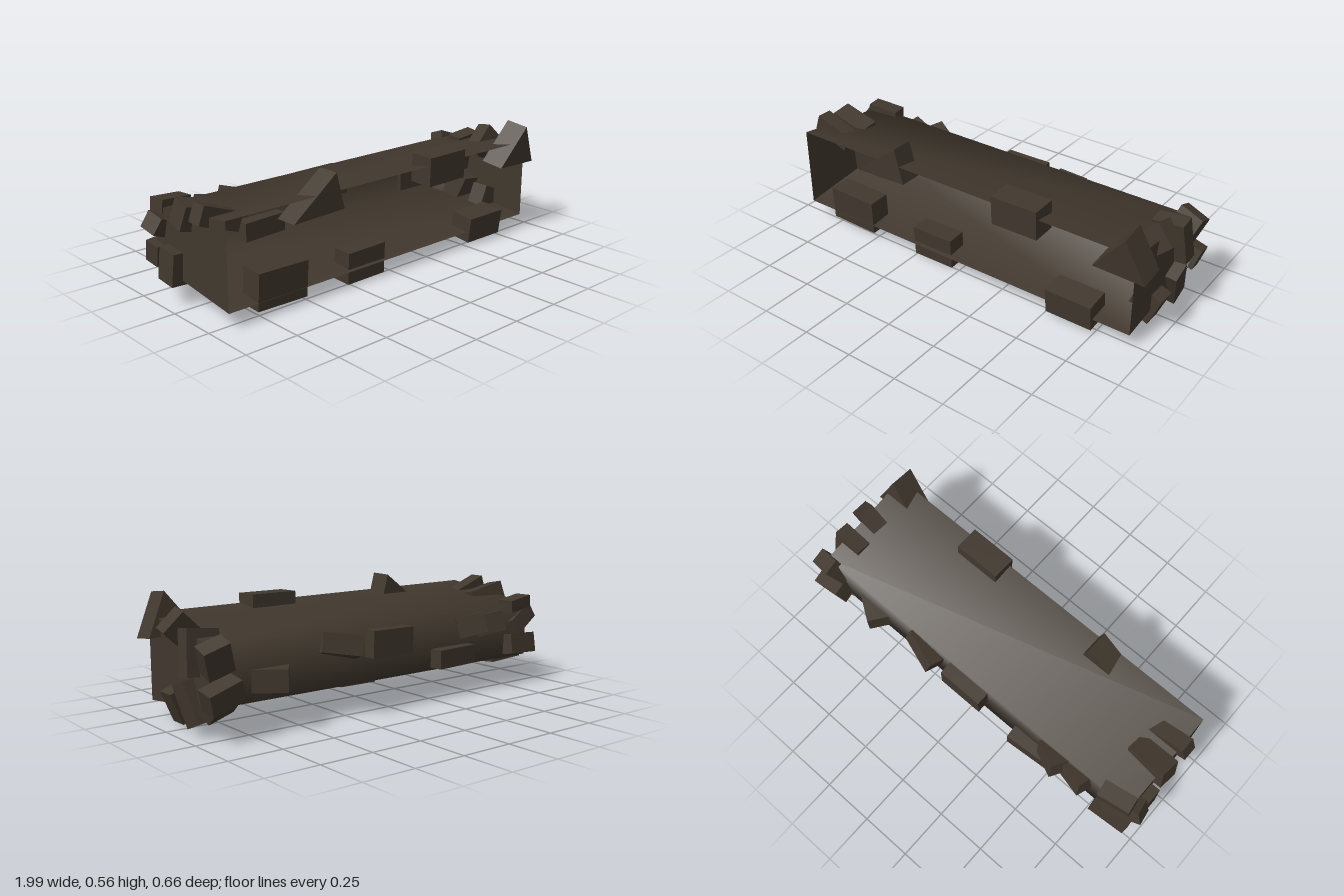
import * as THREE from 'three';

export function createModel() {
  const model = new THREE.Group();
  const darkBrown = new THREE.MeshStandardMaterial({ color: 0x41382e, side: THREE.DoubleSide });
  darkBrown.name = 'darkBrown';

  const add = (name, geometry, pos = [0, 0, 0], rot = [0, 0, 0]) => {
    const mesh = new THREE.Mesh(geometry, darkBrown);
    mesh.name = name;
    mesh.position.set(...pos);
    mesh.rotation.set(...rot);
    model.add(mesh);
  };

  // Trough shell, open to the front: bottom, back and top with shared smooth normals
  const profile = [[0.28, 0.075], [-0.24, 0.137], [-0.24, 0.4], [0.28, 0.467]]; // z, y
  const half = 0.92;
  const points = [];
  const index = [];
  profile.forEach(([z, y], i) => {
    points.push(-half, y, z, half, y, z);
    if (i < profile.length - 1) {
      const a = 2 * i;
      index.push(a, a + 2, a + 1, a + 1, a + 2, a + 3);
    }
  });
  const shell = new THREE.BufferGeometry();
  shell.setAttribute('position', new THREE.Float32BufferAttribute(points, 3));
  shell.setIndex(index);
  shell.computeVertexNormals();
  add('shell', shell);

  // Flat end walls
  const capShape = new THREE.Shape(profile.map(([z, y]) => new THREE.Vector2(-z, y)));
  for (const side of [-1, 1]) {
    add('endWall', new THREE.ShapeGeometry(capShape), [side * half, 0, 0], [0, Math.PI / 2, 0]);
  }

  // Blocks: centre, size, rotation
  const blocks = (name, list) => list.forEach(([pos, size, rot]) =>
    add(name, new THREE.BoxGeometry(...size), pos, rot));

  blocks('topBlock', [
    [[0.335, 0.443, 0.235], [0.235, 0.14, 0.12], [0.04, 0, 0.01]],
  ]);
  blocks('bottomBlock', [
    [[-0.64, 0.12, 0.225], [0.26, 0.17, 0.11], [0.05, 0, -0.02]],
    [[-0.15, 0.083, 0.213], [0.22, 0.15, 0.095], [0.05, 0, 0.01]],
    [[0.625, 0.09, 0.235], [0.23, 0.125, 0.12], [0.12, 0, 0]],
  ]);
  blocks('backBlock', [
    [[-0.39, 0.195, -0.235], [0.24, 0.09, 0.12], [0, 0.08, 0]],
    [[0.015, 0.315, -0.245], [0.23, 0.125, 0.12], [0, 0, 0.01]],
    [[0.28, 0.325, -0.25], [0.19, 0.09, 0.09], [0.3, -0.25, 0.25]],
    [[-0.64, 0.325, -0.25], [0.14, 0.1, 0.08], [0.2, -0.3, -0.12]],
    [[-0.51, 0.33, -0.25], [0.14, 0.1, 0.1], [0.2, -0.5, -0.12]],
  ]);

  // Blocks clustered around the +x end
  blocks('leftEndBlock', [
    [[0.9, 0.425, 0.04], [0.13, 0.12, 0.085], [-0.15, -0.1, 0.75]],
    [[0.895, 0.348, -0.11], [0.15, 0.2, 0.075], [0.15, 0, 0.1]],
    [[0.88, 0.143, -0.093], [0.16, 0.19, 0.1], [0.38, 0, -0.15]],
    [[0.885, 0.11, 0.057], [0.12, 0.15, 0.09], [0, 0, -0.4]],
    [[0.895, 0.345, -0.242], [0.12, 0.14, 0.08], [-0.35, 0, -0.35]],
    [[0.885, 0.198, -0.272], [0.16, 0.1, 0.085], [-0.22, 0.1, -0.3]],
    [[0.86, 0.135, -0.2], [0.14, 0.08, 0.08], [0.75, 0, -0.3]],
  ]);

  // Blocks clustered around the -x end
  blocks('rightEndBlock', [
    [[-0.86, 0.433, 0.13], [0.2, 0.085, 0.075], [0, 0, -0.35]],
    [[-0.86, 0.41, 0], [0.2, 0.11, 0.1], [0.2, -0.1, -0.2]],
    [[-0.87, 0.172, -0.1], [0.2, 0.15, 0.11], [0.1, 0, -0.05]],
    [[-0.89, 0.315, -0.215], [0.19, 0.08, 0.085], [0.3, 0.15, -0.45]],
    [[-0.85, 0.405, -0.23], [0.16, 0.06, 0.08], [0, 0.15, -0.1]],
    [[-0.86, 0.2, -0.245], [0.19, 0.1, 0.08], [0.2, 0.1, 0.05]],
  ]);

  // Wedges: outline in x, y, extruded along z
  const wedge = (name, corners, depth, pos, rot) => {
    const shape = new THREE.Shape(corners.map(([x, y]) => new THREE.Vector2(x, y)));
    add(name, new THREE.ExtrudeGeometry(shape, { depth, bevelEnabled: false }), pos, rot);
  };
  wedge('topWedge', [[-0.58, 0.37], [-0.3, 0.38], [-0.345, 0.55]], 0.11, [0, 0, 0.17]);
  wedge('cornerWedge', [[0.73, 0.36], [0.975, 0.355], [0.885, 0.553]], 0.122, [0, 0.02, 0.128], [0.13, 0, 0]);
  // Lies flat, so its point faces backwards
  wedge('backWedge', [[0.52, 0.2], [0.76, 0.2], [0.735, 0.235], [0.6, 0.325], [0.535, 0.235]],
    0.1, [0, 0.175, 0], [-Math.PI / 2, 0, 0]);

  return model;
}
